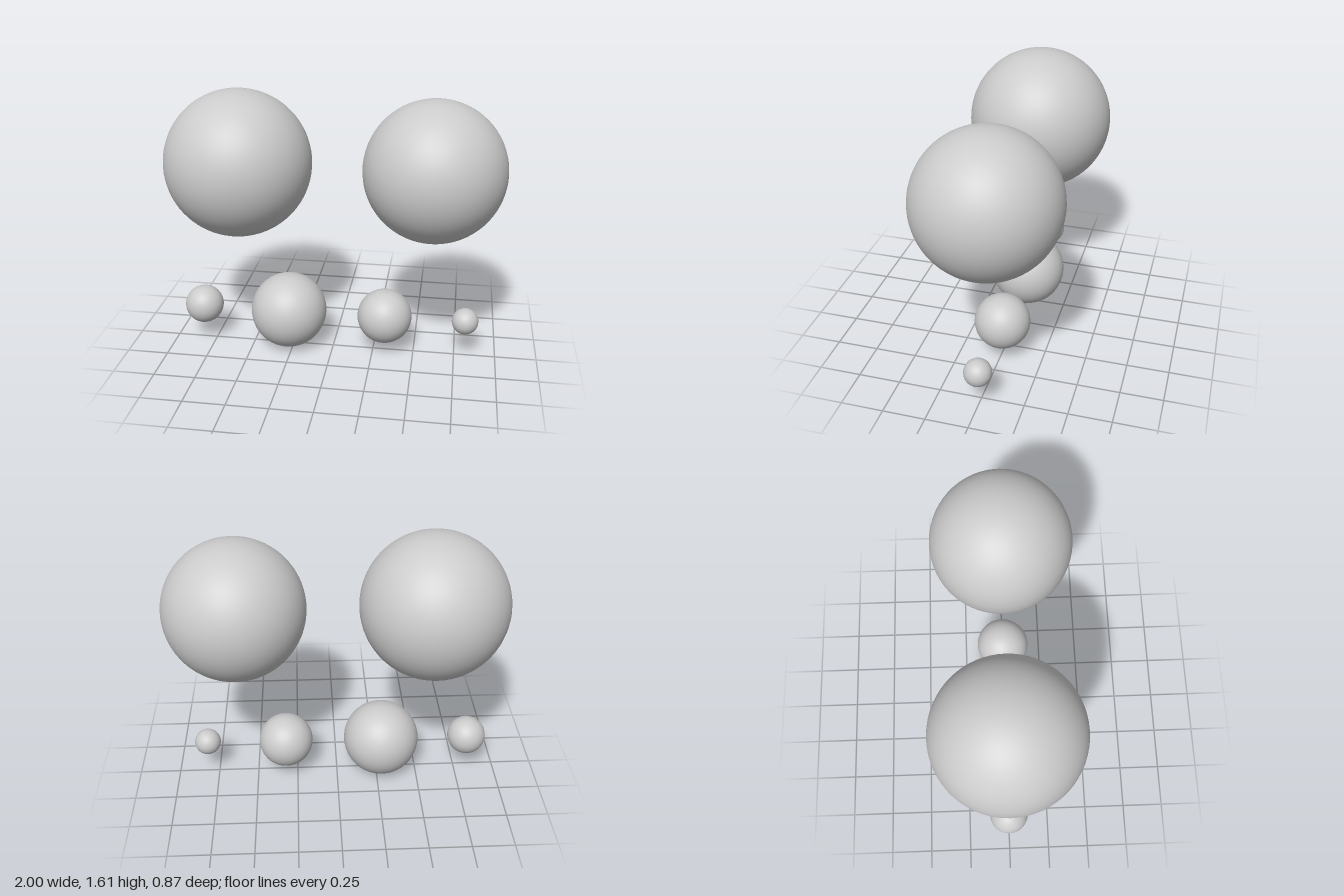
import * as THREE from 'three';

export function createModel() {
  const model = new THREE.Group();
  const material = new THREE.MeshStandardMaterial({ color: 0xcccccc });

  // name, x, y, radius
  const balls = [
    // upper pair
    ['upperRightSphere', -0.565, 1.176, 0.435],
    ['upperLeftSphere', 0.586, 1.176, 0.414],
    // lower row, sharing one centre line
    ['lowerOuterRightSphere', -0.82, 0.232, 0.118],
    ['lowerInnerRightSphere', -0.278, 0.232, 0.232],
    ['lowerInnerLeftSphere', 0.318, 0.232, 0.166],
    ['lowerOuterLeftSphere', 0.808, 0.232, 0.08],
  ];

  for (const [name, x, y, radius] of balls) {
    const ball = new THREE.Mesh(new THREE.SphereGeometry(radius, 64, 40), material);
    ball.name = name;
    ball.position.set(x, y, 0);
    model.add(ball);
  }
  return model;
}
